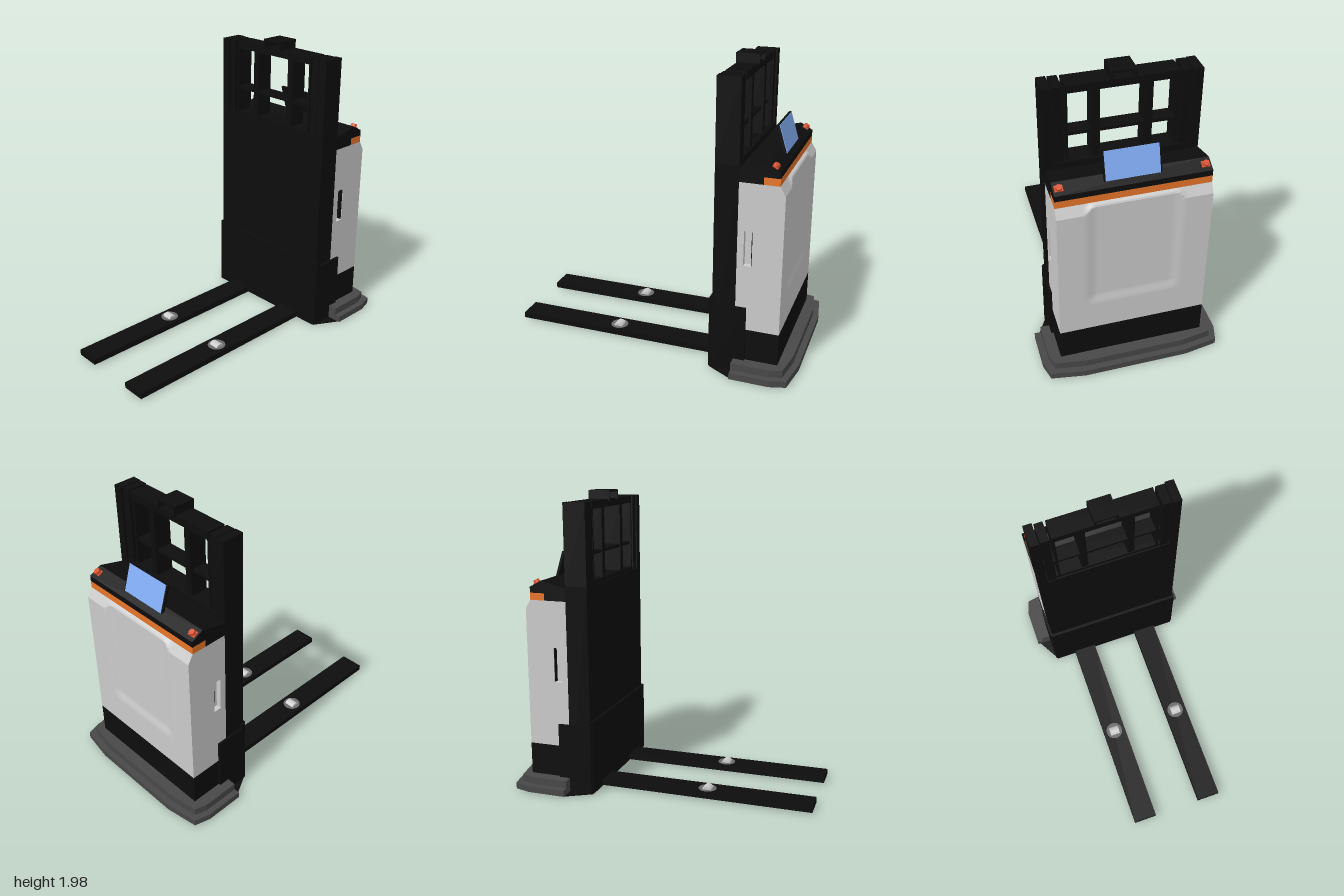
import * as THREE from 'three';
import { toCreasedNormals } from 'three/addons/utils/BufferGeometryUtils.js';

const mat = (color) => new THREE.MeshStandardMaterial({ color });
const M = {
  black: mat(0x0d0d0d), grey: mat(0xcccccc), bumper: mat(0x484848), dark: mat(0x6a6a6a),
  orange: mat(0xe8752a), red: mat(0xd8502c), blue: mat(0x82adf5),
};

export function createModel() {
  const root = new THREE.Group();

  const add = (name, geo, material) => {
    const m = new THREE.Mesh(geo, material);
    m.name = name;
    root.add(m);
    return m;
  };
  // Box given by its extents on each axis
  const box = (name, material, [x0, x1], [y0, y1], [z0, z1]) => {
    const m = add(name, new THREE.BoxGeometry(x1 - x0, y1 - y0, z1 - z0), material);
    m.position.set((x0 + x1) / 2, (y0 + y1) / 2, (z0 + z1) / 2);
    return m;
  };
  const shapeOf = (pts) => new THREE.Shape(pts.map(([x, y]) => new THREE.Vector2(x, y)));
  const rectPts = (x0, x1, y0, y1) => [[x0, y0], [x1, y0], [x1, y1], [x0, y1]];
  // Side profile (x, y) extruded across z
  const across = (name, material, shape, z0, z1) => {
    const g = new THREE.ExtrudeGeometry(shape, { depth: z1 - z0, bevelEnabled: false });
    return add(name, g.translate(0, 0, z0), material);
  };
  // Plan outline (x, z), symmetric in z, extruded upwards
  const plan = (name, material, half, y0, y1) => {
    const pts = [...half, ...half.map(([x, z]) => [x, -z]).reverse()];
    const g = new THREE.ExtrudeGeometry(shapeOf(pts), { depth: y1 - y0, bevelEnabled: false });
    return add(name, g.rotateX(-Math.PI / 2).translate(0, y0, 0), material);
  };

  // Stepped bumper around the foot, with a black underside
  plan('lowerBumper', M.bumper, [[0.6, -0.59], [0.86, -0.59], [0.965, -0.56], [1, -0.34]], 0.012, 0.055);
  plan('upperBumper', M.bumper, [[0.6, -0.55], [0.85, -0.55], [0.93, -0.525], [0.96, -0.33]], 0.055, 0.105);
  plan('underside', M.black, [[0.44, -0.48], [0.6, -0.57], [0.855, -0.57], [0.945, -0.545], [0.98, -0.33]], 0.006, 0.012);

  // Lower chassis, back plate and side skirts
  box('chassis', M.black, [0.6, 0.885], [0.1, 0.32], [-0.475, 0.475]);
  plan('backPlate', M.black, [[0.43, -0.475], [0.445, -0.49], [0.47, -0.49]], 0.012, 0.505);
  for (const s of [-1, 1]) {
    const [z0, z1] = s > 0 ? [0.465, 0.49] : [-0.49, -0.465];
    box('sideSkirt', M.black, [0.45, 0.672], [0.012, 0.475], [z0, z1]);
  }

  // Cabinet core and side panels with a grip slot
  box('cabinetCore', M.grey, [0.6, 0.8], [0.32, 1.3], [-0.44, 0.44]);
  for (const s of [-1, 1]) {
    const panel = shapeOf(rectPts(0.6, 0.8, 0.32, 1.3));
    panel.holes.push(new THREE.Path(rectPts(0.642, 0.695, 0.76, 0.99).map(([x, y]) => new THREE.Vector2(x, y))));
    across('sidePanel', M.grey, panel, s > 0 ? 0.44 : -0.475, s > 0 ? 0.475 : -0.44);
    box('gripSlotWall', M.black, [0.69, 0.694], [0.762, 0.988], s > 0 ? [0.44, 0.472] : [-0.472, -0.44]);
  }

  // Cabinet door: shallow pressed recess and a chamfered top, low at the corners
  const door = new THREE.BoxGeometry(0.085, 0.98, 0.95, 1, 98, 60);
  door.translate(0.8425, 0.81, 0);
  const p = door.attributes.position;
  const ss = THREE.MathUtils.smoothstep;
  for (let i = 0; i < p.count; i++) {
    if (p.getX(i) < 0.88) continue;
    const y = p.getY(i), z = Math.abs(p.getZ(i));
    const middle = 1 - THREE.MathUtils.clamp((z - 0.26) / 0.045, 0, 1);
    const start = 1.24 + 0.04 * middle;
    const recess = 0.012 * (1 - ss(z, 0.235, 0.31)) * ss(y, 0.52, 0.6);
    const cut = 0.035 * Math.max(0, (y - start) / (1.3 - start));
    p.setX(i, 0.885 - Math.max(recess, cut));
  }
  add('cabinetDoor', toCreasedNormals(door, 0.5), M.grey);

  // Orange trim band and console
  box('trimBand', M.orange, [0.75, 0.85], [1.3, 1.347], [-0.475, 0.475]);
  across('console', M.black, shapeOf([[0.6, 1.3], [0.75, 1.3], [0.75, 1.347], [0.85, 1.347],
    [0.85, 1.385], [0.77, 1.428], [0.6, 1.385]]), -0.475, 0.475);

  // Push buttons
  for (const s of [-1, 1]) {
    const button = new THREE.Group();
    button.name = 'pushButton';
    const collar = new THREE.Mesh(new THREE.BoxGeometry(0.04, 0.01, 0.05), M.red);
    const cap = new THREE.Mesh(new THREE.CylinderGeometry(0.018, 0.022, 0.022, 12), M.red);
    collar.name = 'buttonCollar';
    cap.name = 'buttonCap';
    cap.position.y = 0.013;
    button.add(collar, cap);
    button.position.set(0.81, 1.407, s * 0.44);
    button.rotation.z = -0.49;
    root.add(button);
  }

  // Tilted display
  const display = new THREE.Group();
  display.name = 'display';
  const frame = new THREE.Mesh(new THREE.BoxGeometry(0.016, 0.19, 0.35), M.black);
  const screen = new THREE.Mesh(new THREE.BoxGeometry(0.006, 0.18, 0.33), M.blue);
  frame.name = 'displayFrame';
  screen.name = 'displayScreen';
  screen.position.x = 0.009;
  display.add(frame, screen);
  display.position.set(0.779, 1.49, 0);
  display.rotation.z = 0.3;
  root.add(display);

  // Mast: solid lower part, nested uprights, crossbars and top hoop
  box('mastHousing', M.black, [0.45, 0.6], [0.012, 1.4], [-0.475, 0.475]);
  const uprights = [[0.418, 0.475, 0.45, 0.6], [0.354, 0.41, 0.455, 0.59], [0.324, 0.338, 0.46, 0.58], [0.135, 0.18, 0.465, 0.585]];
  for (const [z0, z1, x0, x1] of uprights) {
    box('mastUpright', M.black, [x0, x1], [1.39, 1.928], [z0, z1]);
    box('mastUpright', M.black, [x0, x1], [1.39, 1.928], [-z1, -z0]);
  }
  box('topCrossbar', M.black, [0.46, 0.59], [1.88, 1.928], [-0.338, 0.338]);
  box('middleCrossbar', M.black, [0.47, 0.57], [1.588, 1.608], [-0.415, 0.415]);
  box('lowerCrossbar', M.black, [0.46, 0.6], [1.39, 1.425], [-0.475, 0.475]);
  box('hoopTop', M.black, [0.45, 0.6], [1.973, 1.985], [-0.075, 0.075]);
  for (const z of [-0.075, 0.063]) box('hoopSide', M.black, [0.45, 0.6], [1.92, 1.98], [z, z + 0.012]);

  // Forks with load wheels
  for (const s of [-1, 1]) {
    const z = s * 0.25;
    across('fork', M.black, shapeOf([[-1, 0.015], [0.46, 0.015], [0.46, 0.055], [-1, 0.055]]), z - 0.082, z + 0.082);
    const plate = add('wheelPlate', new THREE.CylinderGeometry(0.06, 0.06, 0.006, 32), M.dark);
    plate.position.set(-0.29, 0.054, z);
    const wheel = add('loadWheel', new THREE.CylinderGeometry(0.036, 0.036, 0.07, 28).rotateX(Math.PI / 2), M.grey);
    wheel.position.set(-0.29, 0.04, z);
  }

  // Stand the model on the ground
  root.updateMatrixWorld(true);
  const b = new THREE.Box3().setFromObject(root);
  root.children.forEach((c) => { c.position.y -= b.min.y; });
  return root;
}
